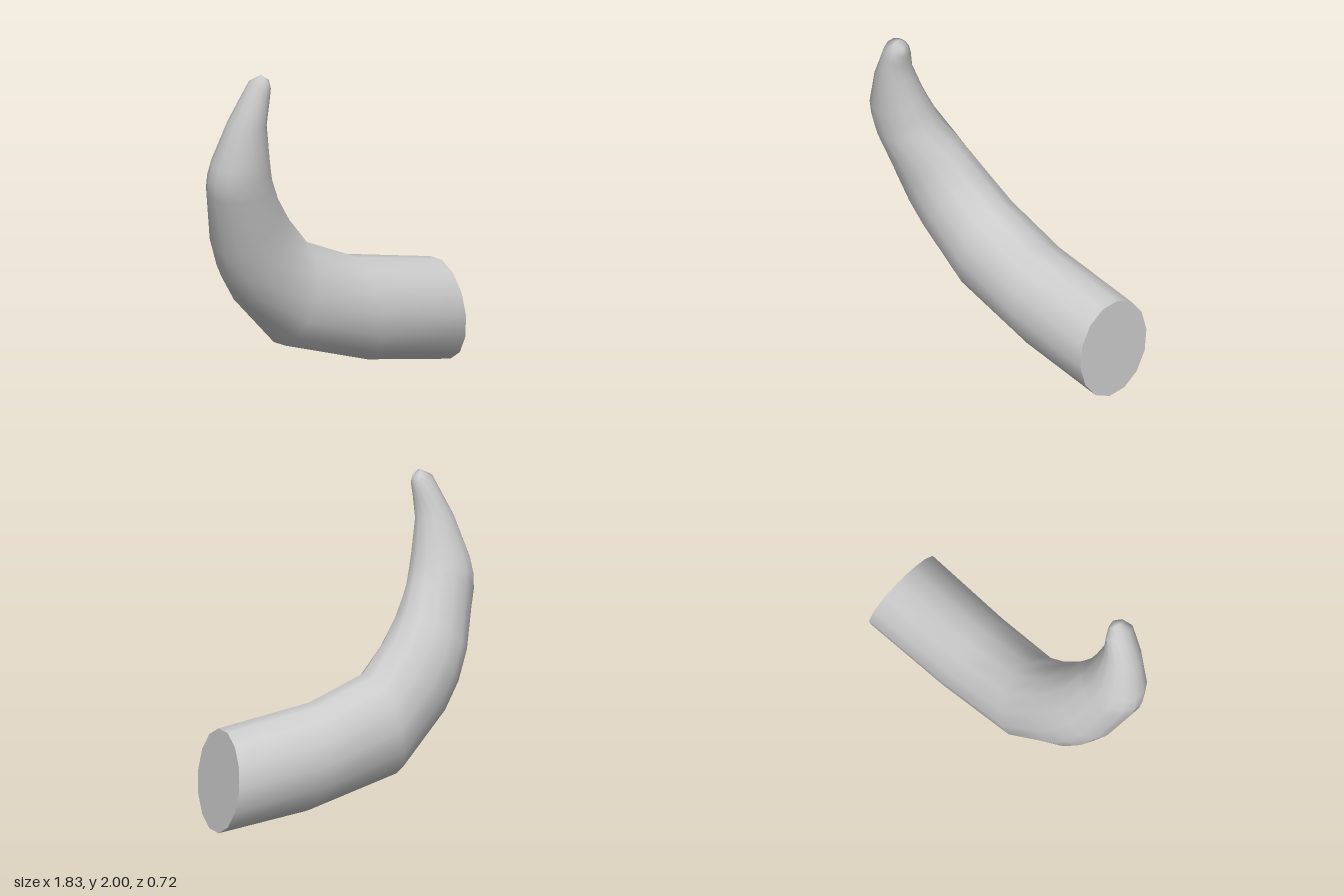
import * as THREE from 'three';

const SIDES = 14;

// One row per ring: outer edge x, y; inner edge x, y; centre z; half width
const RINGS = [
  [0.91, 0.0, 0.85, 0.62, -0.08, 0.28],
  [0.31, 0.07, 0.24, 0.71, -0.07, 0.268],
  [-0.29, 0.23, -0.13, 0.85, -0.06, 0.255],
  [-0.61, 0.54, -0.29, 1.02, -0.01, 0.235],
  [-0.72, 0.70, -0.35, 1.10, 0.02, 0.225],
  [-0.80, 0.88, -0.41, 1.18, 0.055, 0.212],
  [-0.91, 1.25, -0.50, 1.33, 0.14, 0.185],
  [-0.92, 1.34, -0.53, 1.43, 0.165, 0.172],
  [-0.91, 1.44, -0.555, 1.52, 0.19, 0.16],
  [-0.83, 1.70, -0.595, 1.71, 0.235, 0.118],
  [-0.705, 1.965, -0.59, 1.84, 0.27, 0.09],
  [-0.635, 2.0, -0.58, 1.91, 0.278, 0.05],
];
const TIP = [-0.585, 1.965, 0.28];

// Ring points: u runs from centre to inner edge, v is square to u and the axis
function ringPoints() {
  const centres = RINGS.map(([ox, oy, ix, iy, z]) => new THREE.Vector3((ox + ix) / 2, (oy + iy) / 2, z));
  const flat = Math.cos(Math.PI / SIDES);
  return RINGS.map(([ox, oy, ix, iy, , half], i) => {
    const last = centres.length - 1;
    const axis = centres[Math.min(i + 1, last)].clone().sub(centres[Math.max(i - 1, 0)]);
    const u = new THREE.Vector3((ix - ox) / 2, (iy - oy) / 2, 0).divideScalar(flat);
    const v = axis.cross(u).setLength(half);
    return Array.from({ length: SIDES }, (_, j) => {
      const a = ((j + 0.5) / SIDES) * Math.PI * 2;
      return centres[i].clone().addScaledVector(u, Math.cos(a)).addScaledVector(v, Math.sin(a));
    });
  });
}

function makeMesh(name, points, index, material) {
  const geometry = new THREE.BufferGeometry().setFromPoints(points);
  geometry.setIndex(index);
  geometry.computeVertexNormals();
  const mesh = new THREE.Mesh(geometry, material);
  mesh.name = name;
  return mesh;
}

export function createModel() {
  const group = new THREE.Group();
  group.name = 'curvedHorn';
  const material = new THREE.MeshStandardMaterial({ color: 0xcccccc });
  const rings = ringPoints();

  // Smooth tapering body closed by a blunt tip
  const points = [...rings.flat(), new THREE.Vector3(...TIP)];
  const index = [];
  for (let i = 0; i < rings.length; i++) {
    for (let j = 0; j < SIDES; j++) {
      const k = (j + 1) % SIDES;
      const a = i * SIDES + j, b = i * SIDES + k;
      if (i === rings.length - 1) index.push(a, b, points.length - 1);
      else index.push(a, b, a + SIDES, b, b + SIDES, a + SIDES);
    }
  }
  group.add(makeMesh('hornBody', points, index, material));

  // Flat cut end
  const capIndex = [];
  for (let j = 1; j < SIDES - 1; j++) capIndex.push(0, j + 1, j);
  group.add(makeMesh('hornBase', rings[0], capIndex, material));

  return group;
}
